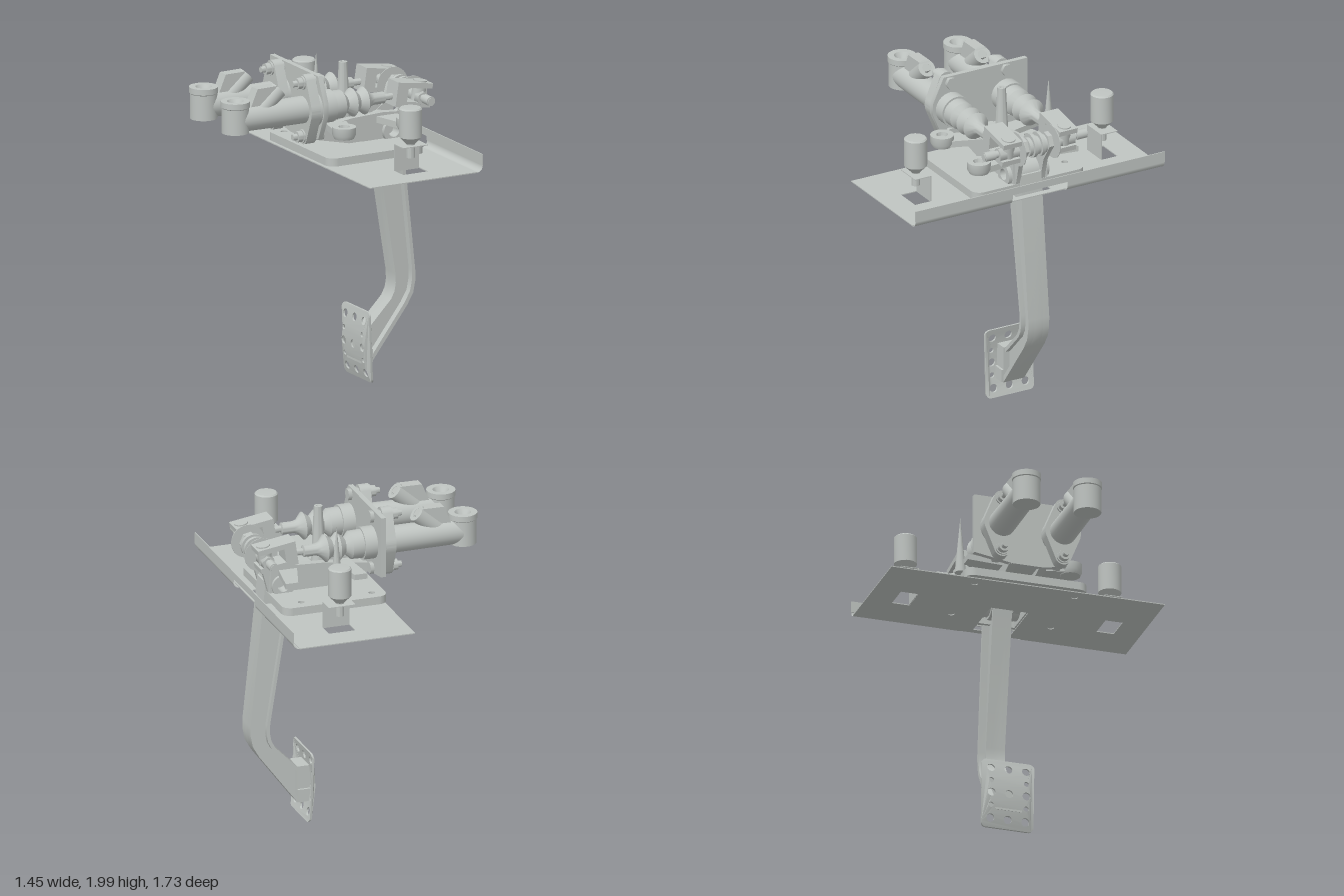
import * as THREE from 'three';
import { toCreasedNormals } from 'three/addons/utils/BufferGeometryUtils.js';

const metal = new THREE.MeshStandardMaterial({ color: 0xbfc4c1 });
metal.name = 'greyMetal';
const sheet = metal;
sheet.side = THREE.DoubleSide;

const V = (x, y) => new THREE.Vector2(x, y);
const poly = pts => new THREE.Shape(pts.map(p => V(...p)));
const circle = (x, y, r) => new THREE.Path().absarc(x, y, r, 0, Math.PI * 2);
const rect = (x0, y0, x1, y1) => new THREE.Path([V(x0, y0), V(x1, y0), V(x1, y1), V(x0, y1)]);
const extrude = (shape, depth) =>
  toCreasedNormals(new THREE.ExtrudeGeometry(shape, { depth, bevelEnabled: false, curveSegments: 10 }), 0.6);
// Extrusions along each axis: xy outline, zy outline, xz outline
const slabZ = (shape, z0, t) => extrude(shape, t).translate(0, 0, z0);
const slabX = (shape, x0, t) => extrude(shape, t).rotateY(-Math.PI / 2).translate(x0 + t, 0, 0);
const slabY = (shape, y0, t) => extrude(shape, t).rotateX(Math.PI / 2).translate(0, y0 + t, 0);
// Turned part along y or x; profile is [position, radius]
const turnY = prof => toCreasedNormals(new THREE.LatheGeometry(prof.map(([p, r]) => V(r, p)), 28), 0.6);
const turnX = prof => turnY(prof).rotateZ(-Math.PI / 2);
const rodZ = (r, len, n = 24) => new THREE.CylinderGeometry(r, r, len, n).rotateX(Math.PI / 2);
const box = (x0, x1, y0, y1, z0, z1) => new THREE.BoxGeometry(x1 - x0, y1 - y0, z1 - z0)
  .translate((x0 + x1) / 2, (y0 + y1) / 2, (z0 + z1) / 2);

function roundRect(x0, y0, x1, y1, r) {
  const s = new THREE.Shape();
  s.absarc(x1 - r, y0 + r, r, -Math.PI / 2, 0);
  s.absarc(x1 - r, y1 - r, r, 0, Math.PI / 2);
  s.absarc(x0 + r, y1 - r, r, Math.PI / 2, Math.PI);
  s.absarc(x0 + r, y0 + r, r, Math.PI, Math.PI * 1.5);
  return s;
}

function add(parent, name, geo, x = 0, y = 0, z = 0) {
  const m = new THREE.Mesh(geo, metal);
  m.name = name;
  m.position.set(x, y, z);
  parent.add(m);
  return m;
}

function group(parent, name, x = 0, y = 0, z = 0) {
  const g = new THREE.Group();
  g.name = name;
  g.position.set(x, y, z);
  parent.add(g);
  return g;
}

// Sheet floor with pedal slot, folded tabs and a curled edge
function buildFloor(root) {
  const g = group(root, 'floorPlate');
  const s = poly([[-0.095, -0.865], [0.64, -0.865], [0.64, 0.86], [-0.095, 0.86]]);
  s.holes.push(rect(0.27, -0.12, 0.6, 0.12));
  for (const k of [-1, 1]) {
    s.holes.push(rect(0.225, k * 0.645 - 0.055, 0.395, k * 0.645 + 0.055));
    for (const x of [-0.02, 0.43]) s.holes.push(circle(x, k * 0.315, 0.02));
  }
  add(g, 'floorSheet', slabY(s, 1.438, 0.006));
  for (const k of [-1, 1]) {
    add(g, 'edgeCurl', new THREE.CylinderGeometry(0.04, 0.04, 0.672, 8, 1, true, 0, Math.PI / 2)
      .rotateX(Math.PI / 2), 0.64, 1.48, k * 0.526);
    const za = Math.min(k * 0.19, k * 0.862), zb = Math.max(k * 0.19, k * 0.862);
    add(g, 'edgeLip', box(0.676, 0.682, 1.48, 1.55, za, zb));
    add(g, 'tabWall', box(0.225, 0.395, 1.44, 1.61, k * 0.59 - 0.003, k * 0.59 + 0.003));
    add(g, 'tabTop', box(0.225, 0.395, 1.605, 1.61, k * 0.645 - 0.055, k * 0.645 + 0.055));
    // Fluid reservoir
    add(g, 'reservoir', turnY([[1.53, 0], [1.53, 0.026], [1.615, 0.026], [1.66, 0.07],
      [1.832, 0.07], [1.84, 0.062], [1.843, 0]]), 0.305, 0, k * 0.645);
  }
  add(g, 'edgeBridge', box(0.676, 0.682, 1.505, 1.55, -0.19, 0.19));
}

// Lower frame, bracket walls, deck and mounting pads
function buildBracket(root) {
  const g = group(root, 'bracket');
  const f = roundRect(-0.1, -0.39, 0.565, 0.38, 0.06);
  f.holes.push(rect(0.27, -0.12, 0.54, 0.12));
  for (const x of [-0.02, 0.43]) f.holes.push(circle(x, -0.315, 0.02));
  add(g, 'lowerFrame', slabY(f, 1.458, 0.05));
  const wall = poly([[-0.09, 1.62], [0.2, 1.66], [0.42, 1.67], [0.55, 1.66], [0.56, 1.5],
    [0.22, 1.5], [-0.09, 1.57]]);
  wall.holes.push(circle(0.48, 1.55, 0.036));
  for (const z of [-0.12, 0.07]) add(g, 'bracketWall', slabZ(wall, z, 0.045));
  add(g, 'deck', box(-0.09, 0.25, 1.585, 1.63, -0.1, 0.1));
  add(g, 'stopBlock', box(0.27, 0.37, 1.54, 1.65, -0.06, 0.06));
  const ring = new THREE.Shape().absarc(0.48, 1.55, 0.07, 0, Math.PI * 2);
  ring.holes.push(circle(0.48, 1.55, 0.036));
  add(g, 'pivotTube', slabZ(ring, -0.14, 0.28));
  for (const [x, inner] of [[0.04, 0.1], [0.48, 0.44]]) {
    const arm = poly([[inner - 0.07, 0.1], [inner + 0.07, 0.1], [x + 0.055, 0.31], [x - 0.055, 0.31]]);
    add(g, 'padArm', slabY(arm, 1.61, 0.04));
    add(g, 'mountPad', turnY([[1.605, 0], [1.605, 0.06], [1.63, 0.072], [1.677, 0.072],
      [1.677, 0.035], [1.655, 0.03], [1.655, 0]]), x, 0, 0.308);
    const back = poly([[inner - 0.06, -0.1], [inner + 0.06, -0.1], [x + 0.06, -0.345], [x - 0.02, -0.345]]);
    add(g, 'backArm', slabY(back, 1.615, 0.035));
  }
  // Tall posts and the thin link between them
  add(g, 'tallPost', turnY([[1.6, 0], [1.6, 0.05], [1.66, 0.042], [1.985, 0.026], [1.985, 0.014],
    [1.95, 0]]), 0.21, 0, -0.005);
  add(g, 'spike', new THREE.ConeGeometry(0.035, 0.36, 12), 0.21, 1.79, -0.33);
  add(g, 'link', box(-0.08, 0.21, 1.63, 1.67, -0.02, 0.01));
  add(g, 'linkEnd', new THREE.CylinderGeometry(0.03, 0.03, 0.06, 16), -0.07, 1.65, -0.005);
  // Upright plate carrying both cylinders
  const up = poly([[-0.345, 1.99], [0.235, 1.99], [0.31, 1.83], [0.31, 1.76], [0.24, 1.6], [0.1, 1.57],
    [-0.1, 1.57], [-0.345, 1.61]]);
  add(g, 'uprightPlate', slabX(up, -0.1, 0.032));
}

// Hydraulic cylinder with ports, flange, boot, rod and fork
function buildCylinder(root, z) {
  const g = group(root, 'hydraulicCylinder', 0, 1.785, z);
  add(g, 'barrel', turnX([[-0.645, 0], [-0.645, 0.08], [-0.18, 0.083], [-0.11, 0.083]]));
  add(g, 'endPort', turnY([[-0.08, 0], [-0.08, 0.083], [0.075, 0.083], [0.08, 0.088], [0.115, 0.088],
    [0.115, 0.05], [0.07, 0.025], [0.07, 0]]), -0.643);
  add(g, 'portWeb', slabZ(poly([[-0.56, 0.06], [-0.51, 0.178], [-0.375, 0.18], [-0.34, 0.13], [-0.4, 0.05]]),
    -0.036, 0.072));
  const port = add(g, 'slantedPort', turnY([[-0.17, 0], [-0.17, 0.054], [0, 0.054], [0, 0.03], [-0.04, 0.02],
    [-0.04, 0]]), -0.348, 0.147);
  port.rotation.z = -0.86;

  const f = new THREE.Shape(), a = 0.372, P = Math.PI;
  f.absarc(0, 0.165, 0.05, a, P - a);
  f.absarc(0, 0, 0.112, P - a, P + a);
  f.absarc(0, -0.165, 0.05, P + a, 2 * P - a);
  f.absarc(0, 0, 0.112, -a, a);
  add(g, 'flange', slabX(f, -0.18, 0.065));
  for (const y of [-0.165, 0.165]) {
    add(g, 'flangeBolt', turnX([[-0.25, 0], [-0.25, 0.018], [-0.222, 0.02], [-0.222, 0.034], [-0.19, 0.034],
      [-0.19, 0.042], [-0.18, 0.042]]), 0, y);
    add(g, 'flangeNut', new THREE.CylinderGeometry(0.038, 0.038, 0.07, 6).rotateZ(P / 2), -0.08, y);
  }
  add(g, 'boot', turnX([[-0.115, 0.112], [-0.075, 0.112], [-0.075, 0.1], [0.01, 0.1], [0.01, 0.088],
    [0.08, 0.086], [0.115, 0.05], [0.158, 0.088], [0.197, 0.053], [0.238, 0.085], [0.275, 0.045],
    [0.3, 0.036], [0.375, 0.036], [0.38, 0.02], [0.46, 0.02]]));

  const c = group(g, 'fork', 0.55, 0.005);
  c.rotation.z = -0.15;
  add(c, 'forkBase', box(-0.115, -0.04, -0.075, 0.075, -0.063, 0.063));
  for (const y of [-0.075, 0.043])
    add(c, 'forkCheek', box(-0.04, 0.125, y, y + 0.032, -0.063, 0.063));
  add(c, 'forkPin', new THREE.CylinderGeometry(0.042, 0.042, 0.165, 20), 0.07, 0, 0);
  add(c, 'forkNut', rodZ(0.042, 0.135, 6), 0.07, -0.02, 0);
}

// Balance bar running across the forks
function buildBalanceBar(root) {
  const g = group(root, 'balanceBar', 0.615, 1.765, 0);
  add(g, 'bar', rodZ(0.022, 0.71));
  for (const k of [-1, 1]) {
    add(g, 'barEnd', rodZ(0.029, 0.07), 0, 0, k * 0.315);
    add(g, 'thinDisc', rodZ(0.105, 0.004, 32), 0, 0, k * 0.118);
    add(g, 'bearingDisc', rodZ(0.075, 0.022), 0, 0.005, k * 0.026);
  }
  add(g, 'bearingCore', rodZ(0.058, 0.12));
}

// Pedal lever (I-section) and its perforated foot pad
function buildPedal(root) {
  const g = group(root, 'pedal');
  const outer = [[0.57, 1.56], [0.665, 0.64], [0.664, 0.58], [0.65, 0.51], [0.61, 0.44], [0.365, 0.115]];
  const inner = [[0.395, 1.52], [0.535, 0.64], [0.537, 0.58], [0.528, 0.53], [0.505, 0.485], [0.35, 0.325]];
  const strip = (pts, dx, dy) => poly([...pts, ...pts.map(([x, y]) => [x + dx, y + dy]).reverse()]);
  add(g, 'leverWeb', slabZ(poly([...outer, ...[...inner].reverse()]), -0.03, 0.06));
  add(g, 'outerFlange', slabZ(strip(outer, -0.022, 0.012), -0.072, 0.145));
  add(g, 'innerFlange', slabZ(strip(inner, 0.02, -0.01), -0.06, 0.12));
  add(g, 'hub', rodZ(0.085, 0.13), 0.48, 1.55, 0);
  const yoke = poly([[0.44, 1.5], [0.56, 1.5], [0.6, 1.65], [0.675, 1.76], [0.65, 1.82], [0.6, 1.83], [0.56, 1.78],
    [0.53, 1.67], [0.43, 1.6]]);
  yoke.holes.push(circle(0.48, 1.55, 0.036));
  for (const z of [-0.1, 0.07]) add(g, 'yoke', slabZ(yoke, z, 0.03));

  add(g, 'padMount', box(0.285, 0.365, 0.19, 0.345, -0.07, 0.07));
  add(g, 'padMountBase', box(0.285, 0.365, 0.12, 0.2, -0.085, 0.085));
  const s = roundRect(-0.165, 0.01, 0.165, 0.45, 0.03);
  for (const y of [0.065, 0.225, 0.39]) for (const z of [-0.11, 0, 0.11]) s.holes.push(circle(z, y, 0.025));
  for (const y of [0.145, 0.305]) for (const z of [-0.11, 0.11]) s.holes.push(circle(z, y, 0.016));
  let pad = new THREE.ExtrudeGeometry(s, { depth: 0.012, bevelEnabled: false, curveSegments: 12 })
    .rotateY(-Math.PI / 2).translate(0.012, 0, 0);
  // Bow the pad towards the foot
  const p = pad.attributes.position;
  for (let i = 0; i < p.count; i++) {
    const t = (p.getY(i) - 0.24) / 0.22;
    p.setX(i, p.getX(i) + 0.274 + 0.034 * t * t - 0.006 * t);
  }
  pad = toCreasedNormals(pad, 0.6);
  add(g, 'footPad', pad);
}

export function createModel() {
  const root = new THREE.Group();
  root.name = 'pedalAssembly';
  buildFloor(root);
  buildBracket(root);
  for (const z of [-0.195, 0.19]) buildCylinder(root, z);
  buildBalanceBar(root);
  buildPedal(root);
  return root;
}
